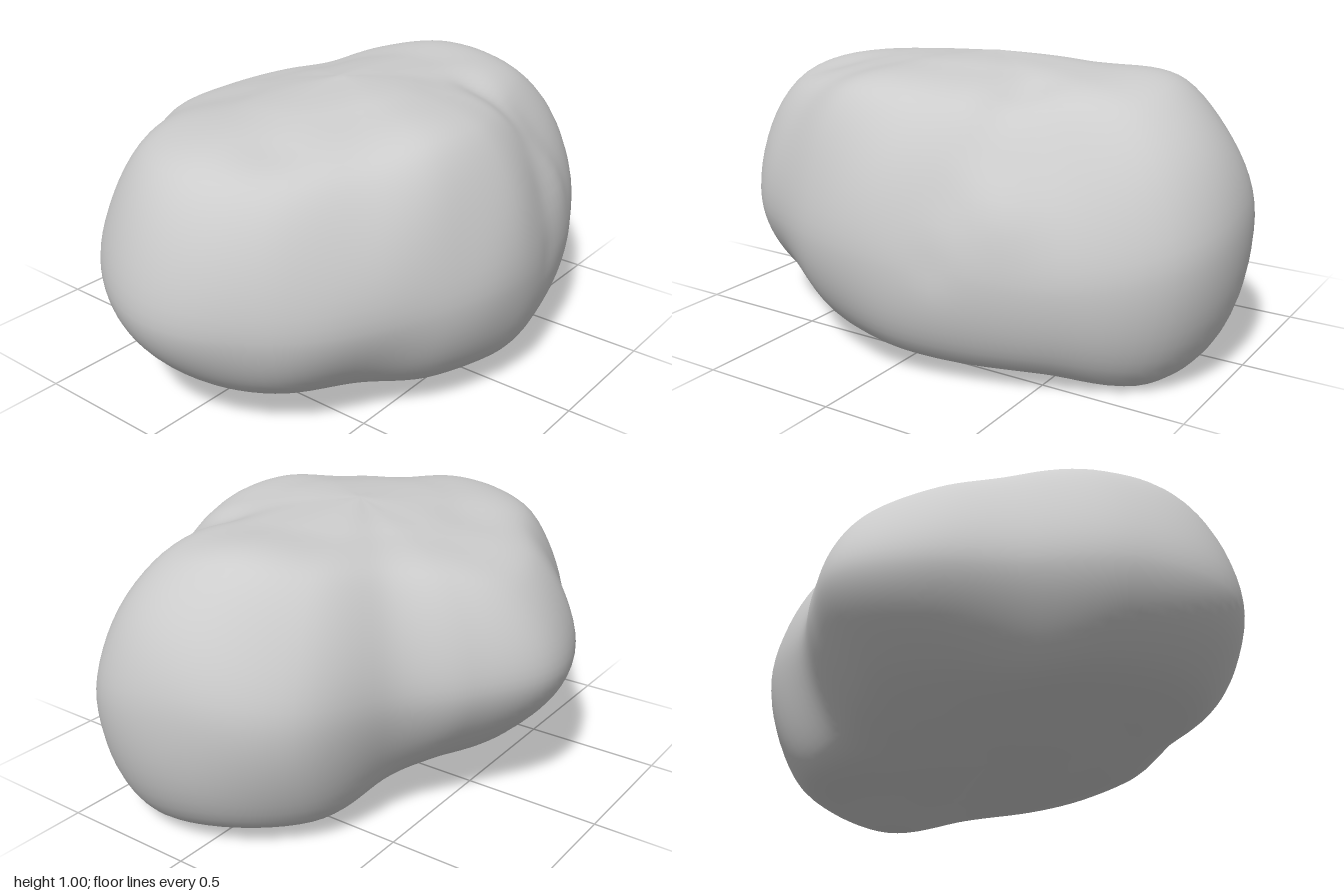
import * as THREE from 'three';
import { mergeVertices } from 'three/addons/utils/BufferGeometryUtils.js';

// One row per 22.5 degrees, turning from +x towards +z:
// widest radius, its height, top shoulder radius, height, bottom shoulder radius, height
const SECTIONS = [
  [1.0, 0.55, 0.75, 0.94, 0.87, 0.07],
  [1.03, 0.48, 0.78, 0.90, 0.87, 0.02],
  [0.89, 0.41, 0.62, 0.87, 0.77, 0.07],
  [0.80, 0.43, 0.58, 0.89, 0.69, 0.08],
  [0.795, 0.45, 0.60, 0.91, 0.68, 0.10],
  [0.79, 0.45, 0.62, 0.91, 0.65, 0.10],
  [0.82, 0.42, 0.66, 0.87, 0.66, 0.13],
  [0.93, 0.42, 0.76, 0.86, 0.78, 0.15],
  [1.0, 0.43, 0.82, 0.86, 0.84, 0.17],
  [0.93, 0.45, 0.77, 0.85, 0.77, 0.18],
  [0.80, 0.45, 0.64, 0.85, 0.62, 0.17],
  [0.80, 0.47, 0.64, 0.82, 0.60, 0.20],
  [0.795, 0.50, 0.64, 0.80, 0.62, 0.23],
  [0.71, 0.50, 0.55, 0.84, 0.53, 0.20],
  [0.69, 0.50, 0.53, 0.87, 0.53, 0.14],
  [0.877, 0.52, 0.66, 0.91, 0.72, 0.08],
];
const AROUND = 128, UP = 64;

// Smooth periodic value of one table column at turn t (0..1)
function sample(column, t) {
  const n = SECTIONS.length, s = t * n, i = Math.floor(s), f = s - i;
  const [a, b, c, d] = [-1, 0, 1, 2].map((k) => SECTIONS[(i + k + n) % n][column]);
  return b + 0.5 * f * (c - a + f * (2 * a - 5 * b + 4 * c - d + f * (3 * (b - c) + d - a)));
}

// Soft dent (or bump, if depth is negative) around a point
function dent(p, x, y, z, size, depth) {
  const d2 = (p.x - x) ** 2 + (p.y - y) ** 2 + (p.z - z) ** 2;
  return depth * Math.exp(-d2 / (size * size));
}

// Worn hollows, the short groove in the front and faint ripples
function weather(p) {
  let sink = 0;
  for (let i = 0; i < 6; i++) {
    const t = i / 5;
    sink += dent(p, 0.36 - 0.14 * t, 0.93 - 0.5 * t * t, 0.3 + 0.4 * t, 0.07, 0.014);
  }
  sink += dent(p, 0.42, 0.6, 0.62, 0.12, -0.02);
  sink += dent(p, -0.58, 0.9, 0.2, 0.13, 0.025);
  sink += dent(p, -0.3, 0.93, -0.35, 0.16, 0.015);
  sink += 0.005 * Math.sin(7 * p.x + 5 * p.z) * Math.sin(9 * p.y - 4 * p.x + 1);
  const centre = new THREE.Vector3(p.x * 0.4, 0.5, p.z * 0.4);
  return p.addScaledVector(p.clone().sub(centre).normalize(), -sink);
}

function boulderGeometry() {
  const positions = [], index = [];
  for (let i = 0; i < AROUND; i++) {
    const t = i / AROUND, angle = t * Math.PI * 2;
    const [r, y, topR, topY, botR, botY] = [0, 1, 2, 3, 4, 5].map((c) => sample(c, t));
    const fall = 0.25 - 0.12 * Math.sin(angle);
    // Profile from the middle of the base out over the side to the crown
    const profile = new THREE.CatmullRomCurve3([
      [0, 0.04], [botR * 0.55, 0.04 + (botY - 0.04) * 0.3], [botR, botY],
      [r, y], [topR, topY], [topR * 0.5, 1 - (1 - topY) * fall], [0, 1.0],
    ].map(([px, py]) => new THREE.Vector3(px, py, 0)));
    for (let j = 0; j <= UP; j++) {
      const q = profile.getPoint(j / UP);
      const radius = j % UP === 0 ? 0 : q.x;
      const p = weather(new THREE.Vector3(radius * Math.cos(angle), q.y, radius * Math.sin(angle)));
      positions.push(p.x, Math.max(p.y, 0), p.z);
    }
  }
  for (let i = 0; i < AROUND; i++) {
    for (let j = 0; j < UP; j++) {
      const a = i * (UP + 1) + j, b = ((i + 1) % AROUND) * (UP + 1) + j;
      if (j < UP - 1) index.push(a, a + 1, b + 1);
      if (j > 0) index.push(a, b + 1, b);
    }
  }
  // Close the two poles with one triangle per column
  for (let i = 0; i < AROUND; i++) {
    const a = i * (UP + 1) + UP - 1, b = ((i + 1) % AROUND) * (UP + 1) + UP - 1;
    index.push(a, a + 1, b);
  }
  const geometry = new THREE.BufferGeometry();
  geometry.setAttribute('position', new THREE.Float32BufferAttribute(positions, 3));
  geometry.setIndex(index);
  const welded = mergeVertices(geometry, 1e-5);
  welded.computeVertexNormals();
  return welded;
}

export function createModel() {
  const group = new THREE.Group();
  group.name = 'rock';
  const stone = new THREE.MeshStandardMaterial({ color: 0xcccccc });
  stone.name = 'stone grey';
  const boulder = new THREE.Mesh(boulderGeometry(), stone);
  boulder.name = 'boulder';
  group.add(boulder);
  return group;
}
